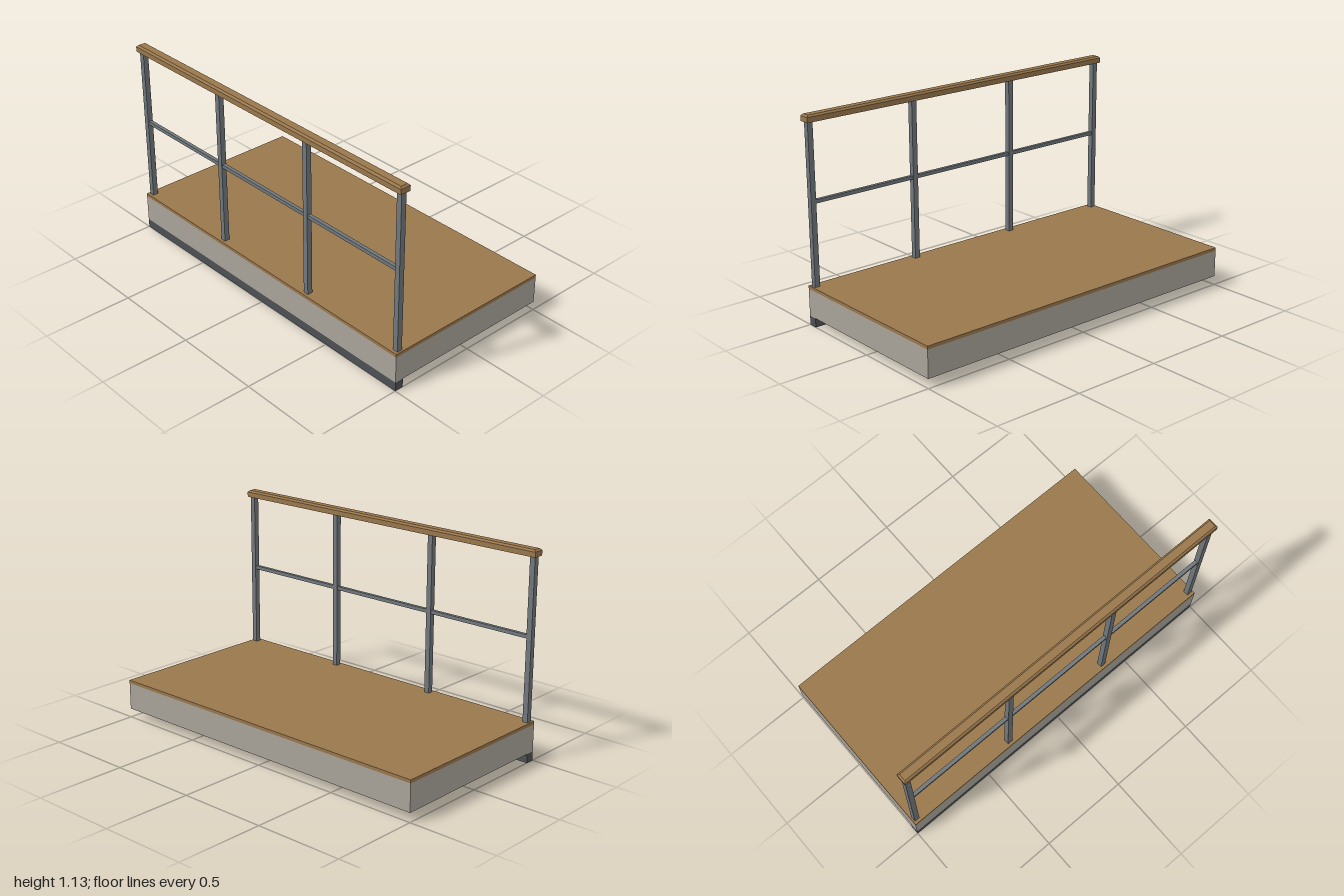
import * as THREE from 'three';

function material(name, color) {
  const m = new THREE.MeshStandardMaterial({ color });
  m.name = name;
  return m;
}

// Box given by its lower and upper limits on each axis
function block(name, mat, [x0, x1], [y0, y1], [z0, z1]) {
  const mesh = new THREE.Mesh(new THREE.BoxGeometry(x1 - x0, y1 - y0, z1 - z0), mat);
  mesh.position.set((x0 + x1) / 2, (y0 + y1) / 2, (z0 + z1) / 2);
  mesh.name = name;
  return mesh;
}

// Box whose top edges are chamfered all round
function chamferedBlock(w, h, d, chamfer) {
  const geo = new THREE.BoxGeometry(w, h, d, 1, 2, 1).toNonIndexed();
  const p = geo.attributes.position;
  for (let i = 0; i < p.count; i++) {
    const y = p.getY(i);
    if (Math.abs(y) < 1e-6) p.setY(i, h / 2 - chamfer);
    else if (y > 0) {
      p.setX(i, p.getX(i) - Math.sign(p.getX(i)) * chamfer);
      p.setZ(i, p.getZ(i) - Math.sign(p.getZ(i)) * chamfer);
    }
  }
  geo.computeVertexNormals();
  return geo;
}

export function createModel() {
  const wood = material('wood', 0x99774c);
  const concrete = material('concrete', 0xa8a299);
  const steel = material('steel', 0x70777b);
  const darkSteel = material('dark steel', 0x4c5053);

  const model = new THREE.Group();
  model.name = 'balcony';

  // Platform
  model.add(block('slab', concrete, [-1, 1], [0.05, 0.2], [-0.5, 0.5]));
  model.add(block('floor', wood, [-1, 1], [0.2, 0.218], [-0.5, 0.5]));
  model.add(block('edgeBeam', darkSteel, [-1, 1], [0, 0.05], [0.45, 0.5]));

  // Railing
  const railing = new THREE.Group();
  railing.name = 'railing';
  const postX = [-0.975, -0.333, 0.333, 0.975];
  const postZ = 0.468, half = 0.015;
  for (const x of postX) {
    railing.add(block('post', steel, [x - half, x + half], [0.218, 1.095], [postZ - half, postZ + half]));
  }
  // Middle rail in bays between the posts
  for (let i = 0; i < postX.length - 1; i++) {
    railing.add(block('middleRail', steel, [postX[i] + half, postX[i + 1] - half],
      [0.664, 0.684], [postZ - 0.01, postZ + 0.01]));
  }
  const handrail = new THREE.Mesh(chamferedBlock(2, 0.038, 0.06, 0.01), wood);
  handrail.name = 'handrail';
  handrail.position.set(0, 1.114, postZ);
  railing.add(handrail);
  model.add(railing);

  return model;
}
